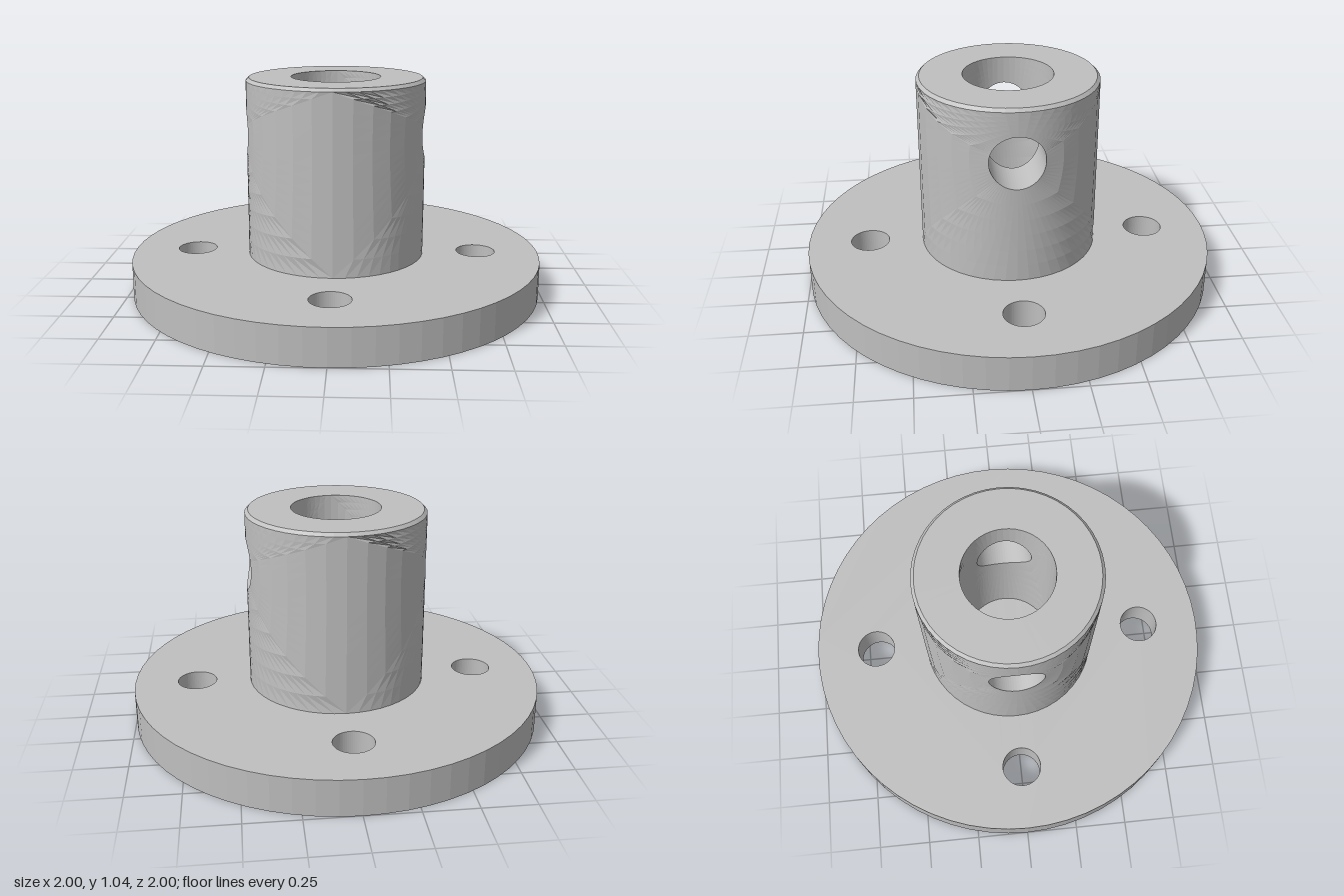
import * as THREE from 'three';

const DISC_R = 1, DISC_H = 0.175;            // flange
const HUB_R = 0.432, BORE_R = 0.215, TOP = 1.045, BEVEL = 0.015;
const PIN_R = 0.129, PIN_Y = 0.785;          // cross hole along x
const ACROSS = 24, UPRIGHT = 12;             // divisions of each half wall

// Quads between successive closed rings of points
function loft(rings) {
  const n = rings[0].length, index = [];
  for (let i = 0; i < rings.length - 1; i++) {
    for (let k = 0; k < n; k++) {
      const a = i * n + k, d = i * n + (k + 1) % n;
      index.push(a, a + n, d + n, a, d + n, d);
    }
  }
  const g = new THREE.BufferGeometry().setFromPoints(rings.flat());
  g.setIndex(index);
  g.computeVertexNormals();
  return g;
}

// Outline of an unrolled half cylinder, as [angle, height] pairs
function outline(bottom, top) {
  const h = Math.PI / 2, pts = [];
  const side = (u0, y0, u1, y1, n) => {
    for (let i = 0; i < n; i++) pts.push([u0 + (u1 - u0) * i / n, y0 + (y1 - y0) * i / n]);
  };
  side(-h, bottom, h, bottom, ACROSS);
  side(h, bottom, h, top, UPRIGHT);
  side(h, top, -h, top, ACROSS);
  side(-h, top, -h, bottom, UPRIGHT);
  return pts;
}

const onCylinder = (r, [u, y]) => new THREE.Vector3(r * Math.cos(u), y, r * Math.sin(u));

// Rings spreading from the cross hole to the outline of a half wall
function wallRings(r, border, angles, steps = 6) {
  const rings = [];
  for (let i = 0; i <= steps; i++) {
    const f = i / steps;
    rings.push(border.map(([u, y], k) => {
      const hu = Math.asin(PIN_R * Math.cos(angles[k]) / r);
      const hy = PIN_Y + PIN_R * Math.sin(angles[k]);
      return onCylinder(r, [hu + (u - hu) * f, hy + (y - hy) * f]);
    }));
  }
  return rings;
}

export function createModel() {
  const group = new THREE.Group();
  const metal = new THREE.MeshStandardMaterial({ color: 0xbfbfbf, flatShading: true });
  metal.name = 'grey metal';
  const add = (name, geometry) => {
    const mesh = new THREE.Mesh(geometry, metal);
    mesh.name = name;
    group.add(mesh);
    return mesh;
  };

  // Round flange with four bolt holes
  const disc = new THREE.Shape().absarc(0, 0, DISC_R, 0, Math.PI * 2);
  for (let i = 0; i < 4; i++) {
    const a = i * Math.PI / 2;
    disc.holes.push(new THREE.Path().absarc(0.695 * Math.cos(a), 0.695 * Math.sin(a), 0.095, 0, Math.PI * 2, true));
  }
  const flange = new THREE.ExtrudeGeometry(disc, { depth: DISC_H, bevelEnabled: false, curveSegments: 32 });
  flange.rotateX(-Math.PI / 2);
  add('flange', flange);

  // Hub walls, each half pierced by the cross hole
  const outer = outline(DISC_H, TOP - BEVEL);
  const angles = outer.map(([u, y]) => Math.atan2(y - PIN_Y, u * HUB_R));
  const outerRings = wallRings(HUB_R, outer, angles);
  const boreRings = wallRings(BORE_R, outline(DISC_H, TOP), angles);
  const parts = {
    hubWall: loft([...outerRings].reverse()),
    crossHole: loft([outerRings[0], boreRings[0]]),
    bore: loft(boreRings),
  };
  for (const [name, geometry] of Object.entries(parts)) {
    add(name + 'Left', geometry);
    add(name + 'Right', geometry).rotation.y = Math.PI;
  }

  // Bevelled top rim around the bore
  add('hubRim', new THREE.LatheGeometry([
    new THREE.Vector2(HUB_R, TOP - BEVEL),
    new THREE.Vector2(HUB_R - BEVEL, TOP),
    new THREE.Vector2(BORE_R, TOP),
  ], ACROSS * 2));

  return group;
}
